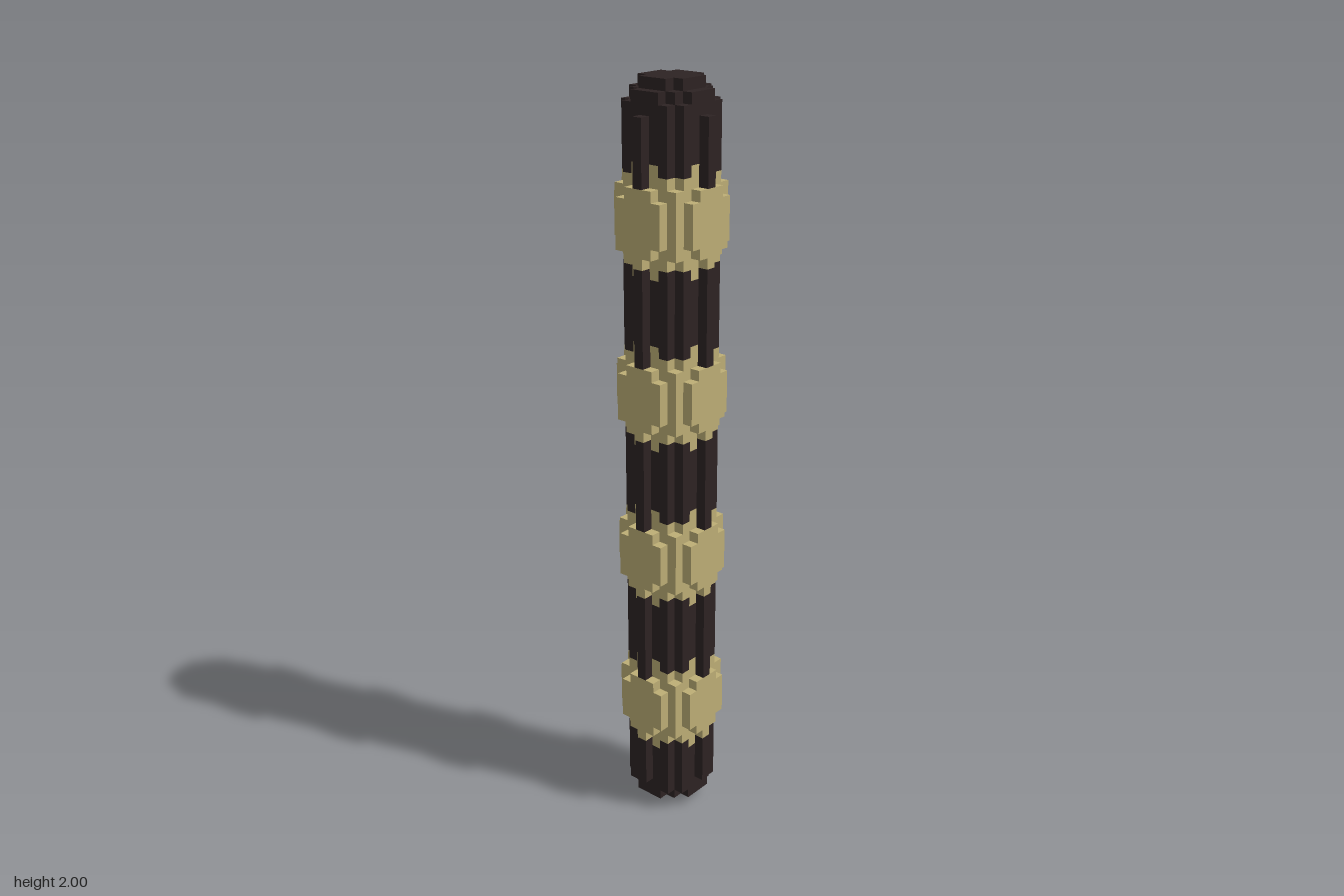
import * as THREE from 'three';
import { mergeGeometries } from 'three/addons/utils/BufferGeometryUtils.js';

const U = 1 / 36; // block size: 9 x 72 x 9 blocks

// Vertical extent of the dark shaft for a column at squared radius q
function shaftSpan(q) {
  if (q <= 2) return [0, 72];
  if (q <= 5) return [1, 72];
  if (q <= 10) return [1, 71];
  if (q <= 13) return [2, 70];
  if (q <= 16) return [3, 69];
  return null;
}

// Extent of a rounded band, relative to its base row
function bandSpan(q) {
  if (q < 10 || q > 20) return null;
  if (q === 10) return [-1, 9];
  if (q === 13) return [0, 8];
  if (q === 16) return [0, 7];
  if (q <= 18) return [1, 7];
  return [2, 6];
}

function column(x, z, y0, y1) {
  return new THREE.BoxGeometry(U, (y1 - y0) * U, U).translate(x * U, (y0 + y1) / 2 * U, z * U);
}

export function createModel() {
  const model = new THREE.Group();
  const dark = new THREE.MeshStandardMaterial({ color: 0x2d2323 });
  dark.name = 'dark brown';
  const tan = new THREE.MeshStandardMaterial({ color: 0xbeaf76 });
  tan.name = 'tan';

  const bases = [8, 24, 40, 56];
  const shaft = [];
  const bands = bases.map(() => []);

  for (let x = -4; x <= 4; x++) {
    for (let z = -4; z <= 4; z++) {
      const q = x * x + z * z;
      const span = shaftSpan(q);
      const ring = bandSpan(q);
      let y = span ? span[0] : 0;
      if (ring) {
        bases.forEach((b, i) => {
          // Shaft below this band, then the band itself
          if (span) shaft.push(column(x, z, y, b + ring[0]));
          bands[i].push(column(x, z, b + ring[0], b + ring[1]));
          y = b + ring[1];
        });
      }
      if (span) shaft.push(column(x, z, y, span[1]));
    }
  }

  const add = (name, parts, material) => {
    const mesh = new THREE.Mesh(mergeGeometries(parts), material);
    mesh.name = name;
    model.add(mesh);
  };
  add('shaft', shaft, dark);
  bands.forEach((parts, i) => add(`band${i + 1}`, parts, tan));
  return model;
}
